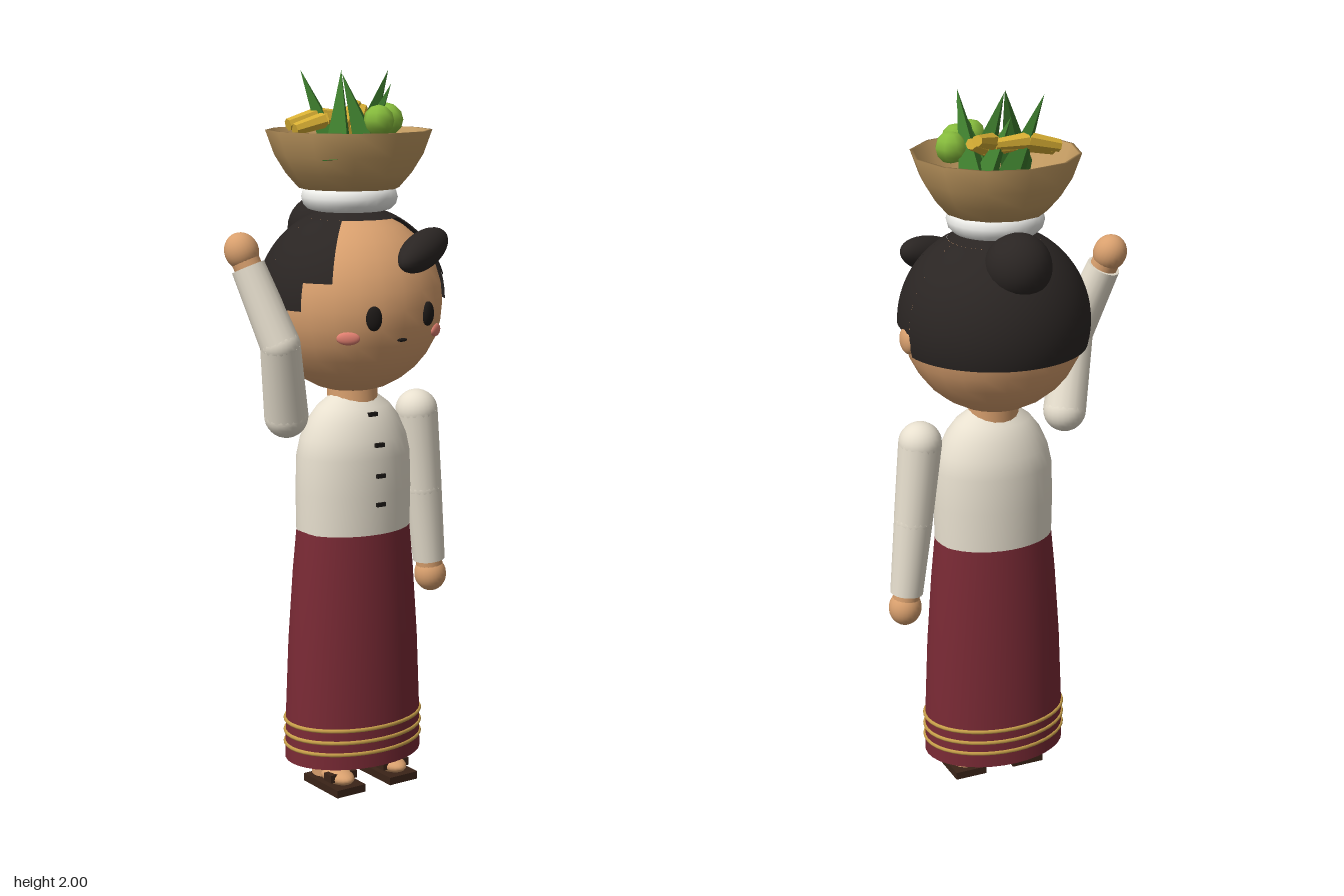
import * as THREE from 'three';

const CX = 0.03; // body axis
const mat = (color, extra = {}) => new THREE.MeshStandardMaterial({ color, ...extra });
const M = {
  skin: mat(0xd9a06e), shirt: mat(0xe8e0cf, { side: THREE.DoubleSide }),
  skirt: mat(0x7a2a35, { side: THREE.DoubleSide }), gold: mat(0xc9a04a),
  hair: mat(0x2a2523, { side: THREE.DoubleSide }), dark: mat(0x1c1816),
  sandal: mat(0x3a2418), blush: mat(0xe07f70), white: mat(0xf0f0ec),
  basket: mat(0xc49c62, { side: THREE.DoubleSide }),
  leaf: mat(0x3c7a2c, { flatShading: true }), fruit: mat(0x86bb3c),
  banana: mat(0xd9b034, { flatShading: true }),
};
const V = (x, y, z) => new THREE.Vector3(x, y, z);

export function createModel() {
  const root = new THREE.Group();
  const add = (name, geo, material, x = 0, y = 0, z = 0, parent = root) => {
    const m = new THREE.Mesh(geo, material);
    m.name = name;
    m.position.set(x, y, z);
    parent.add(m);
    return m;
  };
  const ball = (name, material, r, x, y, z, sx = 1, sy = 1, sz = 1, parent = root) => {
    const m = add(name, new THREE.SphereGeometry(r, 24, 16), material, x, y, z, parent);
    m.scale.set(sx, sy, sz);
    return m;
  };
  // tapered cylinder from a (radius ra) to b (radius rb)
  const limb = (name, material, a, b, ra, rb, sides = 18, parent = root) => {
    const d = b.clone().sub(a);
    const m = add(name, new THREE.CylinderGeometry(rb, ra, d.length(), sides), material, 0, 0, 0, parent);
    m.position.copy(a).addScaledVector(d, 0.5);
    m.quaternion.setFromUnitVectors(V(0, 1, 0), d.normalize());
    return m;
  };
  const lathe = (name, pts, sides, material, z) =>
    add(name, new THREE.LatheGeometry(pts.map(p => new THREE.Vector2(...p)), sides), material, CX, 0, z);

  // sandals, feet and legs
  for (const s of [-1, 1]) {
    const foot = new THREE.Group();
    foot.name = s > 0 ? 'leftFoot' : 'rightFoot';
    foot.position.set(CX + s * 0.09, 0, 0.01);
    root.add(foot);
    add('sole', new THREE.BoxGeometry(0.095, 0.022, 0.17), M.sandal, 0, 0.011, 0.04, foot);
    ball('foot', M.skin, 0.04, 0, 0.038, 0.05, 0.95, 0.6, 1.75, foot);
    add('strap', new THREE.BoxGeometry(0.088, 0.022, 0.035), M.sandal, 0, 0.042, 0.07, foot);
    limb('leg', M.skin, V(0, 0.03, 0), V(0, 0.45, 0), 0.042, 0.05, 16, foot);
  }

  // skirt with gold bands
  const skirt = lathe('skirt', [[0.207, 0.08], [0.205, 0.2], [0.196, 0.42], [0.182, 0.62], [0.17, 0.745]], 36, M.skirt, 0.01);
  skirt.scale.z = 0.75;
  for (const y of [0.124, 0.158, 0.193]) {
    const band = add('skirtBand', new THREE.TorusGeometry(0.206, 0.006, 6, 40), M.gold, CX, y, 0.01);
    band.rotation.x = Math.PI / 2;
    band.scale.y = 0.75;
  }

  // blouse, buttons and neck
  const blouse = lathe('blouse', [[0.17, 0.74], [0.172, 0.85], [0.169, 0.95], [0.158, 1.0], [0.135, 1.05],
    [0.108, 1.085], [0.075, 1.11], [0.06, 1.125]], 36, M.shirt, 0.01);
  blouse.scale.z = 0.77;
  for (const [y, z] of [[1.07, 0.1], [0.99, 0.135], [0.905, 0.141], [0.825, 0.141]])
    add('button', new THREE.BoxGeometry(0.028, 0.011, 0.016), M.dark, CX, y, z);
  limb('neck', M.skin, V(CX, 1.07, 0.01), V(CX, 1.18, 0), 0.07, 0.07);

  // arms: shoulder, elbow, wrist, hand
  const arm = (name, s, e, w) => {
    const g = new THREE.Group();
    g.name = name;
    root.add(g);
    const dir = w.clone().sub(e).normalize();
    ball('shoulder', M.shirt, 0.06, s.x, s.y, s.z, 1, 1, 1, g);
    limb('upperSleeve', M.shirt, s, e, 0.06, 0.054, 18, g);
    ball('elbow', M.shirt, 0.054, e.x, e.y, e.z, 1, 1, 1, g);
    limb('lowerSleeve', M.shirt, e, w, 0.054, 0.046, 18, g);
    limb('wrist', M.skin, w, w.clone().addScaledVector(dir, 0.025), 0.038, 0.038, 18, g);
    const h = w.clone().addScaledVector(dir, 0.045);
    const hand = ball('hand', M.skin, 0.046, h.x, h.y, h.z, 1, 1.1, 1, g);
    hand.quaternion.setFromUnitVectors(V(0, 1, 0), dir);
  };
  arm('leftArm', V(0.247, 1.045, 0.01), V(0.27, 0.82, 0.012), V(0.294, 0.605, 0.012));
  arm('rightArm', V(-0.19, 1.075, 0.01), V(-0.24, 1.28, 0.06), V(-0.295, 1.485, -0.01));

  // head and face
  const HY = 1.372;
  ball('head', M.skin, 0.251, CX, HY, 0);
  for (const s of [-1, 1]) {
    ball('ear', M.skin, 0.038, CX + s * 0.25, 1.347, 0, 0.55, 1, 1);
    ball('eye', M.dark, 0.022, CX + s * 0.088, 1.356, 0.234, 1, 1.5, 0.6).rotation.y = s * 0.36;
    ball('blush', M.blush, 0.03, CX + s * 0.143, 1.303, 0.194, 1.05, 0.6, 0.35).rotation.y = s * 0.63;
  }
  ball('mouth', M.dark, 0.016, CX, 1.293, 0.239, 1, 0.3, 0.4);

  // hair shell: crown plus panels; angles run from the front towards the left
  const rad = THREE.MathUtils.degToRad;
  const panel = (name, a0, a1, t0, t1) => add(name, new THREE.SphereGeometry(0.262, 32, 16,
    Math.PI / 2 + rad(a0), rad(a1 - a0), t0, t1 - t0), M.hair, CX, HY, 0);
  panel('hairCrown', 0, 360, 0, 0.5);
  panel('hairBack', 97, 263, 0.5, 1.82);
  for (const s of [-1, 1]) {
    const side = (name, a, b, t) => panel(name, Math.min(s * a, s * b), Math.max(s * a, s * b), 0.5, t);
    side('hairTemple', 46, 65, 1.28);
    side('hairSide', 65, 97, Math.PI / 2);
  }
  ball('hairBun', M.hair, 0.09, CX, 1.56, -0.155);
  ball('fringe', M.hair, 0.055, 0.135, 1.52, 0.185, 2.15, 0.9, 0.9).rotation.set(0, 0.45, 0.27);

  // head ring and basket
  const ring = add('headRing', new THREE.TorusGeometry(0.095, 0.037, 12, 28), M.white, CX, 1.656, -0.01);
  ring.rotation.x = Math.PI / 2;
  lathe('basket', [[0, 1.68], [0.137, 1.68], [0.172, 1.72], [0.203, 1.77], [0.227, 1.836], [0.218, 1.836],
    [0.193, 1.77], [0.163, 1.725], [0.13, 1.686], [0, 1.686]], 12, M.basket, -0.012);

  // green fruit
  for (const [x, z] of [[0.165, -0.03], [0.115, 0.05], [0.06, 0.085]])
    add('greenFruit', new THREE.SphereGeometry(0.042, 8, 6), M.fruit, x, 1.863, z);

  // bananas, bent in short segments
  const bananas = [
    [V(-0.125, 1.85, -0.075), V(-0.035, 1.872, -0.07), V(0.055, 1.868, -0.065)],
    [V(-0.12, 1.838, -0.05), V(-0.03, 1.86, -0.045), V(0.05, 1.855, -0.055)],
    [V(0, 1.84, 0.0), V(0.065, 1.875, -0.06), V(0.13, 1.895, -0.12)],
    [V(0.03, 1.83, 0.01), V(0.085, 1.86, -0.045), V(0.14, 1.885, -0.105)],
  ];
  for (const [a, b, c] of bananas) {
    limb('banana', M.banana, a, b, 0.017, 0.023, 7);
    limb('banana', M.banana, b, c, 0.023, 0.015, 7);
  }

  // pointed leaves leaning inwards
  const leaves = [
    [V(-0.085, 1.75, 0.105), V(0, 1.995, -0.005), 0.05],
    [V(0.05, 1.75, 0.07), V(0.0, 1.985, 0.0), 0.05],
    [V(0.13, 1.75, -0.12), V(0.108, 1.995, 0.06), 0.05],
    [V(0.0, 1.75, -0.02), V(-0.066, 1.995, -0.105), 0.045],
    [V(0.12, 1.77, -0.12), V(-0.02, 1.92, 0.0), 0.04],
    [V(0.04, 1.76, 0.02), V(0.1, 1.96, 0.085), 0.04],
  ];
  for (const [a, b, r] of leaves) limb('leaf', M.leaf, a, b, r, 0, 4);

  return root;
}
